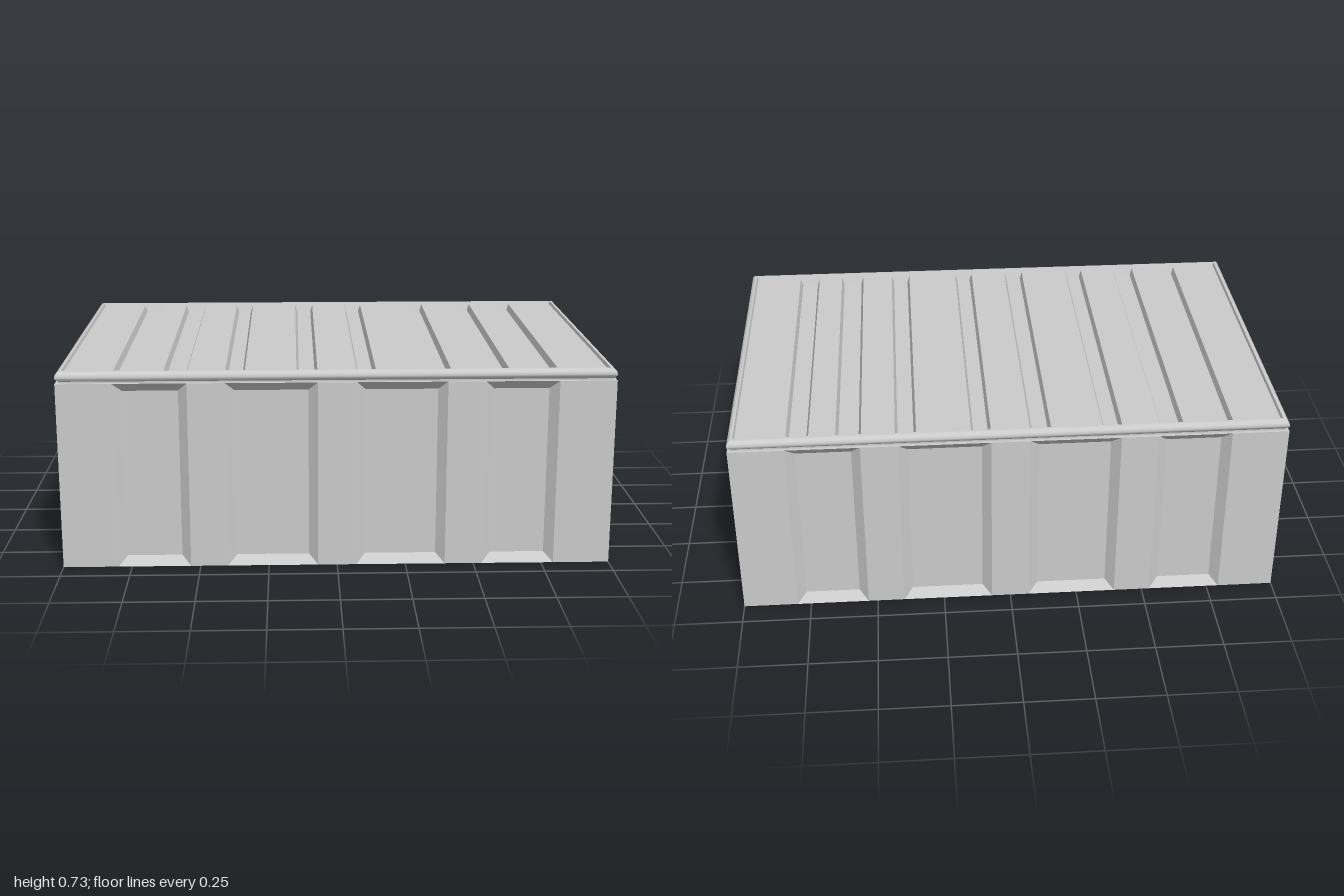
import * as THREE from 'three';
import { toCreasedNormals } from 'three/addons/utils/BufferGeometryUtils.js';

const material = new THREE.MeshStandardMaterial({ color: 0xcccccc });
const HALF_X = 1, HALF_Z = 0.66, WALL_TOP = 0.688;

// Collects quads (corners counter-clockwise) into a flat-shaded geometry.
function quadGeometry(quads) {
  const points = quads.flatMap(([a, b, c, d]) => [a, b, c, a, c, d].flat());
  const geometry = new THREE.BufferGeometry();
  geometry.setAttribute('position', new THREE.Float32BufferAttribute(points, 3));
  geometry.computeVertexNormals();
  return geometry;
}

// Rectangle facing +z with a row of sunken panels that have sloping edges.
function recessedFace(half, y0, y1, panels, p0, p1, slope, depth) {
  const quads = [];
  const rect = (xa, xb, ya, yb, z) => [[xa, ya, z], [xb, ya, z], [xb, yb, z], [xa, yb, z]];
  const flat = (xa, xb, ya, yb) => {
    if (xb - xa > 1e-5 && yb - ya > 1e-5) quads.push(rect(xa, xb, ya, yb, 0));
  };
  let x = -half;
  for (const [a, b] of panels) {
    flat(x, a, y0, y1);
    flat(a, b, y0, p0);
    flat(a, b, p1, y1);
    const outer = rect(a, b, p0, p1, 0);
    const inner = rect(a + slope, b - slope, p0 + slope, p1 - slope, -depth);
    quads.push(inner);
    for (let i = 0; i < 4; i++) {
      const j = (i + 1) % 4;
      quads.push([outer[i], outer[j], inner[j], inner[i]]);
    }
    x = b;
  }
  flat(x, half, y0, y1);
  return quadGeometry(quads);
}

// Sweeps an [inset, y] profile around the rectangular plan with mitred corners.
function rectangularSweep(profile) {
  const signs = [[1, 1], [1, -1], [-1, -1], [-1, 1]];
  const loops = profile.map(([inset, y]) =>
    signs.map(([sx, sz]) => [sx * (HALF_X - inset), y, sz * (HALF_Z - inset)]));
  const quads = [];
  for (let i = 0; i < loops.length - 1; i++) {
    for (let k = 0; k < 4; k++) {
      const n = (k + 1) % 4;
      quads.push([loops[i][k], loops[i][n], loops[i + 1][n], loops[i + 1][k]]);
    }
  }
  return toCreasedNormals(quadGeometry(quads), 0.65);
}

export function createModel() {
  const model = new THREE.Group();
  const add = (name, geometry) => {
    const mesh = new THREE.Mesh(geometry, material);
    mesh.name = name;
    model.add(mesh);
    return mesh;
  };

  // Long walls with four panels, short walls with one
  const longPanels = [[-0.8, -0.535], [-0.4, -0.07], [0.07, 0.395], [0.53, 0.795]];
  const longWall = recessedFace(HALF_X, 0, WALL_TOP, longPanels, 0, WALL_TOP, 0.033, 0.03);
  const shortWall = recessedFace(HALF_Z, 0, WALL_TOP, [[-0.34, 0.31]], 0, WALL_TOP, 0.033, 0.03);
  add('frontWall', longWall).position.z = HALF_Z;
  const back = add('backWall', longWall);
  back.position.z = -HALF_Z;
  back.rotation.y = Math.PI;
  for (const side of [1, -1]) {
    const wall = add(side > 0 ? 'leftWall' : 'rightWall', shortWall);
    wall.position.x = side * HALF_X;
    wall.rotation.y = side * Math.PI / 2;
  }

  // Underside
  add('base', new THREE.PlaneGeometry(2 * HALF_X, 2 * HALF_Z).rotateX(Math.PI / 2));

  // Narrow neck and rounded lid rim
  add('lidRim', rectangularSweep([
    [0, WALL_TOP], [0.012, WALL_TOP], [0.012, 0.694], [0.001, 0.705], [0, 0.711],
    [0.003, 0.721], [0.009, 0.728], [0.017, 0.731], [0.022, 0.731], [0.026, 0.72],
  ]));

  // Lid surface with eight grooves running front to back
  const grooves = [[-0.8, -0.71], [-0.62, -0.535], [-0.4, -0.33], [-0.145, -0.07],
    [0.07, 0.14], [0.335, 0.41], [0.53, 0.62], [0.715, 0.795]];
  const halfZ = HALF_Z - 0.026;
  const top = add('groovedLid',
    recessedFace(HALF_X - 0.026, -halfZ, halfZ, grooves, -0.625, 0.632, 0.009, 0.025));
  top.rotation.x = -Math.PI / 2;
  top.position.y = 0.72;

  return model;
}
